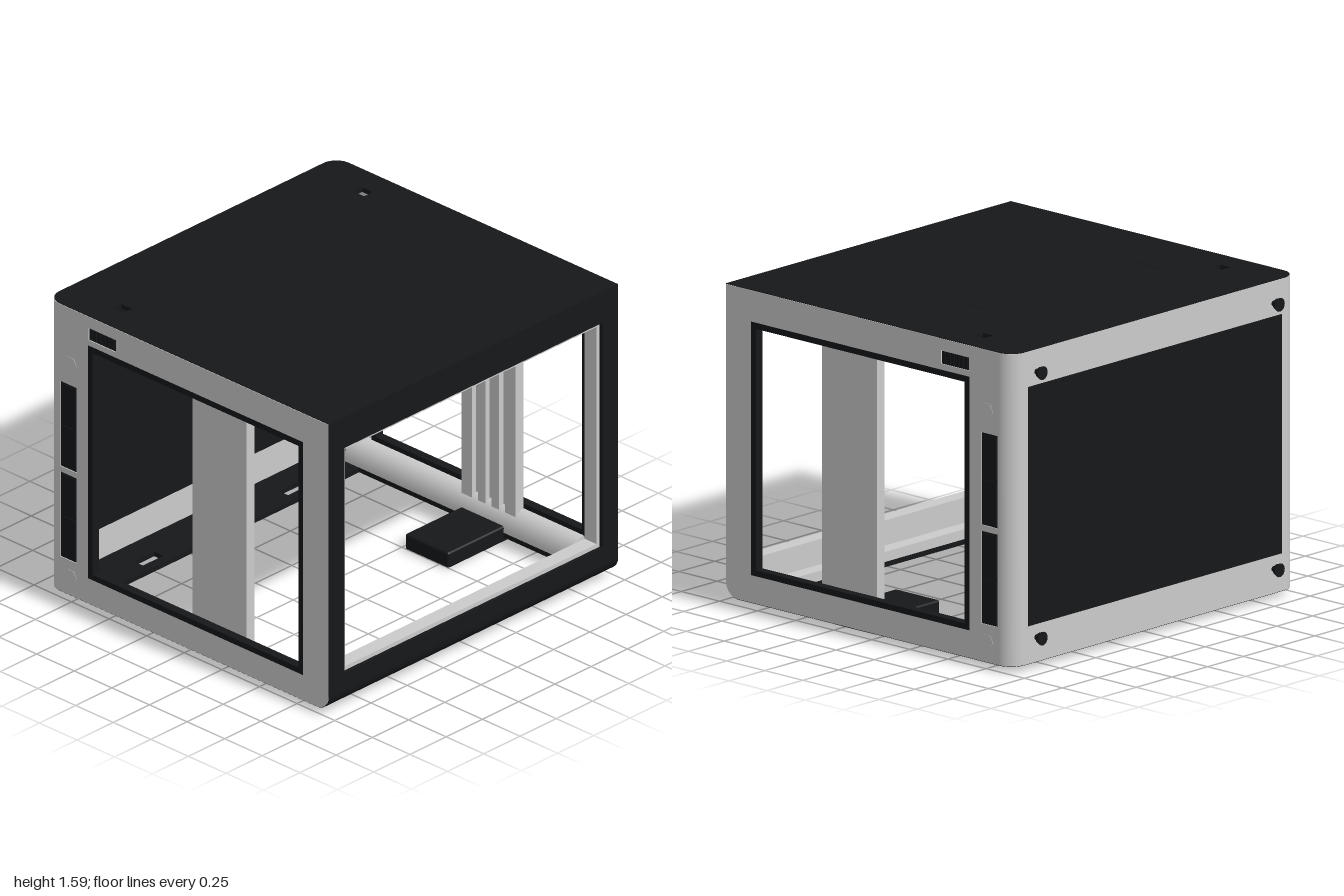
import * as THREE from 'three';
import { toCreasedNormals } from 'three/addons/utils/BufferGeometryUtils.js';
import { RoundedBoxGeometry } from 'three/addons/geometries/RoundedBoxGeometry.js';

const GREY = new THREE.MeshStandardMaterial({ color: 0xcccccc });
const BLACK = new THREE.MeshStandardMaterial({ color: 0x151719 });

const TOP = 1.588, BOTTOM = 0.03, FRONT = 0.96, BACK = -0.92, WALL = 0.035;
const CORNER = 0.09; // rounded vertical back corners
const TOE = 0.08;    // rounded lower front edge
const GAP = 0.003;   // small step between neighbouring plates

// Rectangle as a shape, or as a hole in another one
function rect(u0, u1, v0, v1, Kind = THREE.Shape) {
  const s = new Kind();
  s.moveTo(u0, v0); s.lineTo(u1, v0); s.lineTo(u1, v1); s.lineTo(u0, v1); s.closePath();
  return s;
}
const cut = (shape, ...holes) => {
  holes.forEach(h => shape.holes.push(rect(...h, THREE.Path)));
  return shape;
};
const ring = (u0, u1, v0, v1, w) =>
  cut(rect(u0, u1, v0, v1), [u0 + w, u1 - w, v0 + w, v1 - w]);

// Curved strip of wall thickness t
function arcStrip(cu, cv, r, t, a0, a1) {
  const s = new THREE.Shape();
  s.absarc(cu, cv, r, a0, a1, false);
  s.absarc(cu, cv, r - t, a1, a0, true);
  s.closePath();
  return s;
}

// Plan outline with rounded back corners
function plan(zFront) {
  const s = new THREE.Shape(), w = 1 - GAP, r = CORNER - GAP, zc = BACK + CORNER;
  s.moveTo(w, zFront);
  s.lineTo(-w, zFront);
  s.lineTo(-w, zc);
  s.absarc(-1 + CORNER, zc, r, Math.PI, Math.PI * 1.5, false);
  s.absarc(1 - CORNER, zc, r, Math.PI * 1.5, Math.PI * 2, false);
  s.closePath();
  return s;
}

// Side outline with the rolled front toe
function sideOutline() {
  const s = new THREE.Shape(), zBack = BACK + CORNER;
  s.moveTo(zBack, TOP - GAP);
  s.lineTo(zBack, BOTTOM + GAP);
  s.lineTo(FRONT - TOE, BOTTOM + GAP);
  s.absarc(FRONT - TOE, BOTTOM + TOE, TOE - GAP, -Math.PI / 2, 0, false);
  s.lineTo(FRONT - GAP, TOP - GAP);
  s.closePath();
  return s;
}

export function createModel() {
  const model = new THREE.Group();

  function add(name, geometry, material, x = 0, y = 0, z = 0) {
    const mesh = new THREE.Mesh(geometry, material);
    mesh.name = name;
    mesh.position.set(x, y, z);
    model.add(mesh);
    return mesh;
  }
  function box(name, material, x0, x1, y0, y1, z0, z1) {
    return add(name, new THREE.BoxGeometry(x1 - x0, y1 - y0, z1 - z0), material,
      (x0 + x1) / 2, (y0 + y1) / 2, (z0 + z1) / 2);
  }
  const extrude = (shape, depth) => toCreasedNormals(
    new THREE.ExtrudeGeometry(shape, { depth, bevelEnabled: false, curveSegments: 12 }), 0.6);

  // Shape in (x, y), running from z0 to z1
  const alongZ = (name, shape, mat, z0, z1) => add(name, extrude(shape, z1 - z0), mat, 0, 0, z0);
  // Shape in (z, y), running from x0 to x1
  const alongX = (name, shape, mat, x0, x1) => {
    add(name, extrude(shape, x1 - x0), mat, x1).rotation.y = -Math.PI / 2;
  };
  // Shape in (x, z), running from y0 to y1
  const alongY = (name, shape, mat, y0, y1) => {
    add(name, extrude(shape, y1 - y0), mat, 0, y1).rotation.x = Math.PI / 2;
  };

  // Top plate with two square holes and flush inlays
  alongY('topPlate', cut(plan(FRONT), [-0.86, -0.8, -0.61, -0.54], [0.8, 0.86, -0.61, -0.54]),
    BLACK, TOP - 0.025, TOP);
  box('topInlayLeft', BLACK, 0.1, 0.49, TOP - 0.01, TOP + 0.001, -0.44, -0.14);
  box('topInlayRight', BLACK, -0.8, -0.61, TOP - 0.01, TOP + 0.001, -0.44, -0.14);
  box('topSeam', BLACK, -0.42, 0.42, TOP - 0.01, TOP + 0.001, -0.573, -0.567);

  // Bottom rim with a large opening and two slots at the back
  alongY('bottomRim', cut(plan(FRONT - TOE), [-0.87, 0.87, -0.64, 0.76],
    [-0.57, -0.43, -0.75, -0.69], [0.43, 0.57, -0.75, -0.69]), BLACK, BOTTOM, BOTTOM + 0.025);

  // Front frame, its rolled lower edge and the grey lip inside
  alongZ('frontFrame', cut(rect(-1 + GAP, 1 - GAP, BOTTOM + TOE, TOP), [-0.89, 0.89, 0.2, 1.42]),
    BLACK, FRONT - 0.025, FRONT);
  alongX('frontLowerEdge', arcStrip(FRONT - TOE, BOTTOM + TOE, TOE, 0.025, -Math.PI / 2, 0),
    BLACK, -1 + GAP, 1 - GAP);
  alongZ('frontLip', ring(-0.9, 0.9, 0.19, 1.43, 0.032), GREY, 0.86, FRONT - 0.02);
  // Beams behind the lip
  box('frontLowerBeam', GREY, -0.96, 0.96, 0.06, 0.08, 0.76, 0.92);
  box('frontLowerBeamWall', GREY, -0.96, 0.96, 0.06, 0.19, 0.9, 0.93);
  box('frontLowerBeamEdge', GREY, -0.96, 0.96, 0.06, 0.11, 0.75, 0.77);
  box('frontUpperBeam', GREY, -0.96, 0.96, 1.44, 1.56, 0.8, 0.93);

  // Back wall with black panel and thumb screws
  alongZ('backWall', cut(rect(-1 + CORNER, 1 - CORNER, BOTTOM + GAP, TOP - GAP), [-0.89, 0.89, 0.22, 1.41]),
    GREY, BACK, BACK + WALL);
  box('backPanel', BLACK, -0.89, 0.89, 0.22, 1.41, BACK - 0.001, BACK + WALL + 0.002);
  for (const x of [-0.83, 0.83]) for (const y of [0.155, 1.475]) {
    add('thumbScrewStem', new THREE.CylinderGeometry(0.014, 0.014, 0.05, 16), BLACK, x, y, BACK - 0.012)
      .rotation.x = Math.PI / 2;
    add('thumbScrewHead', new THREE.CylinderGeometry(0.026, 0.034, 0.022, 24), BLACK, x, y, BACK - 0.031)
      .rotation.x = Math.PI / 2;
  }

  const STRIPS = [[0.22, 0.68], [0.71, 1.17]];
  for (const s of [-1, 1]) {
    // Span of x measured inward from the outer side face
    const span = (a, b) => (s > 0 ? [1 - b, 1 - a] : [a - 1, b - 1]);

    // Side wall with window, vent and control cutouts
    const side = cut(sideOutline(), [-0.63, 0.78, 0.18, 1.42], [-0.637, -0.455, 1.46, 1.525],
      ...STRIPS.map(([y0, y1]) => [-0.825, -0.718, y0, y1]));
    alongX('sideWall', side, GREY, ...span(0, WALL));
    alongX('windowTrim', ring(-0.64, 0.79, 0.17, 1.43, 0.03), BLACK, ...span(-0.002, WALL + 0.01));

    // Rounded back corner
    const a0 = s > 0 ? Math.PI * 1.5 : Math.PI;
    alongY('backCorner', arcStrip(s * (1 - CORNER), BACK + CORNER, CORNER, WALL, a0, a0 + Math.PI / 2),
      GREY, BOTTOM + GAP, TOP - GAP);

    // Vent grille and control strips, set into the wall
    const inset = span(0.005, WALL + 0.01);
    box('vent', BLACK, ...inset, 1.46, 1.525, -0.637, -0.455);
    for (let i = 0; i < 6; i++) {
      box('ventRib', BLACK, ...span(0, 0.01), 1.465, 1.52, -0.628 + i * 0.029, -0.615 + i * 0.029);
    }
    for (const [y0, y1] of STRIPS) {
      box('controlStrip', BLACK, ...inset, y0, y1, -0.825, -0.718);
      box('lowerControlCover', BLACK, ...span(0, 0.01), y0 + 0.01, y0 + 0.225, -0.815, -0.728);
      box('upperControlCover', BLACK, ...span(0, 0.01), y0 + 0.24, y1 - 0.01, -0.815, -0.728);
    }
    for (const y of [0.135, 1.285]) {
      add('hexNut', new THREE.CylinderGeometry(0.04, 0.04, 0.06, 6).toNonIndexed(), GREY,
        s * 0.972, y, -0.755).rotation.z = Math.PI / 2;
    }

    // Upright post with grooves on the inner face
    box('post', GREY, ...span(0.045, 0.07), 0.05, 1.565, 0.01, 0.37);
    for (const [z0, z1] of [[0.01, 0.08], [0.12, 0.17], [0.21, 0.26], [0.3, 0.37]]) {
      box('postRib', GREY, ...span(0.06, 0.1), 0.05, 1.565, z0, z1);
    }

    // Rounded lower side rail
    const rail = new THREE.Shape();
    rail.moveTo(s * 0.965, 0.055);
    rail.lineTo(s * 0.965, 0.175);
    rail.bezierCurveTo(s * 0.91, 0.175, s * 0.87, 0.13, s * 0.87, 0.055);
    rail.closePath();
    alongZ('sideRail', rail, GREY, -0.74, 0.77);
  }

  // Framed box on the inside of the back wall
  alongZ('displayFrame', ring(0.2, 0.76, 0.96, 1.16, 0.04), GREY, -0.6, -0.5);
  alongZ('displayInnerFrame', ring(0.238, 0.722, 0.998, 1.122, 0.008), BLACK, -0.6, -0.52);
  box('displayFace', GREY, 0.24, 0.72, 1.0, 1.12, -0.6, -0.55);
  box('displayBody', GREY, 0.23, 0.73, 1.02, 1.15, BACK + WALL, -0.6);

  // Small unit hanging under the left side
  add('underUnit', new RoundedBoxGeometry(0.45, 0.085, 0.29, 3, 0.012), BLACK, 0.715, 0.046, 0.175);
  box('underUnitPlate', GREY, 0.54, 0.89, 0, 0.01, 0.07, 0.28);
  return model;
}
